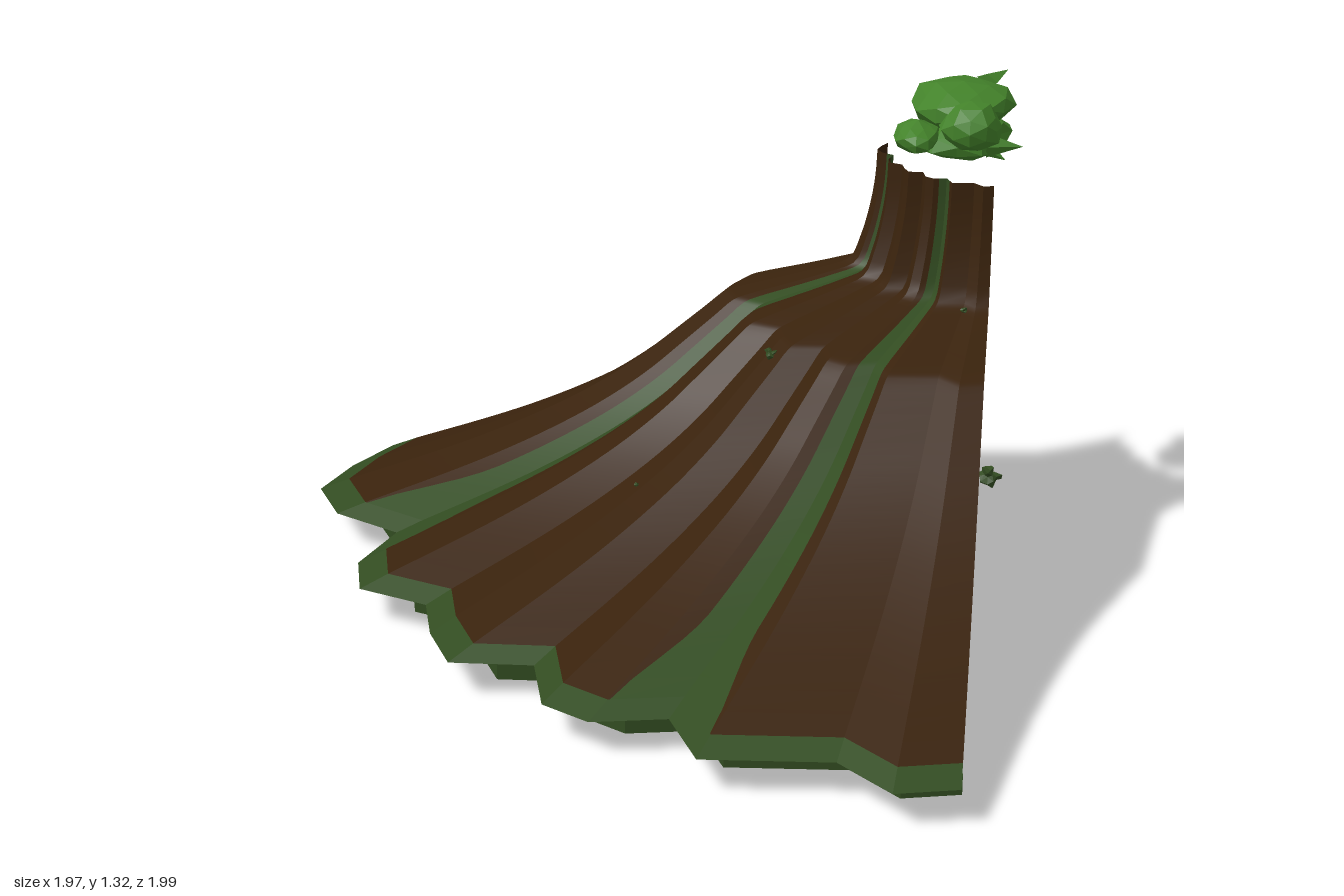
import * as THREE from 'three';

const paint = (name, color) => {
  const m = new THREE.MeshStandardMaterial({ color, side: THREE.DoubleSide });
  m.name = name;
  return m;
};

// The slope is a quarter fan around a vertical axis at this x, z
const AXIS = [0.907, -0.92];
// Scalloped rim, relative to the axis, from the back edge to the front edge
const RIM = [
  [-1.745, 0], [-1.835, 0.16], [-1.895, 0.33], [-1.815, 0.49], [-1.625, 0.595], [-1.695, 0.8],
  [-1.66, 0.96], [-1.465, 1.035], [-1.425, 1.2], [-1.35, 1.36], [-1.125, 1.35], [-1.075, 1.56],
  [-0.945, 1.64], [-0.745, 1.6], [-0.655, 1.8], [-0.31, 1.775], [-0.165, 1.915], [0, 1.875],
];
// Profile of the slope: share of the rim radius, height
const PROFILE = [
  [0.175, 1.105], [0.177, 1.03], [0.183, 0.95], [0.197, 0.845], [0.214, 0.78], [0.25, 0.758],
  [0.306, 0.732], [0.385, 0.697], [0.397, 0.687], [0.425, 0.643], [0.478, 0.56], [0.52, 0.495],
  [0.567, 0.434], [0.62, 0.376], [0.69, 0.312], [0.76, 0.257], [0.836, 0.205], [0.957, 0.13],
];
const VALLEYS = [4, 13]; // rim points from which the grassy stripes climb

// Point at fractional rim index u, radius share s and height y
function fanPoint(u, s, y) {
  const i = Math.min(Math.floor(u), RIM.length - 2), f = u - i;
  const x = THREE.MathUtils.lerp(RIM[i][0], RIM[i + 1][0], f);
  const z = THREE.MathUtils.lerp(RIM[i][1], RIM[i + 1][1], f);
  return [AXIS[0] + x * s, y, AXIS[1] + z * s];
}

// One strip between two columns; smooth along the profile, creased between strips
function strip(colA, colB, rows) {
  const pos = [], index = [];
  rows.forEach(([s, y], j) => {
    pos.push(...fanPoint(colA(s), s, y), ...fanPoint(colB(s), s, y));
    if (j) {
      const a = 2 * j - 2;
      index.push(a, a + 2, a + 1, a + 1, a + 2, a + 3);
    }
  });
  const g = new THREE.BufferGeometry();
  g.setAttribute('position', new THREE.Float32BufferAttribute(pos, 3));
  g.setIndex(index);
  g.computeVertexNormals();
  return g;
}

// Half-width of a stripe, which flares towards the rim
const flare = (s) => 0.58 + 0.39 * THREE.MathUtils.smoothstep(s, 0.78, 0.957);

function seeded(seed) {
  return () => {
    seed = (seed * 16807) % 2147483647;
    return seed / 2147483647;
  };
}

// Faceted leafy clump: a ball with its corners pushed in and out
function clump(size, rough, seed) {
  const g = new THREE.IcosahedronGeometry(1, 1);
  const p = g.attributes.position, rnd = seeded(seed), moved = new Map();
  for (let i = 0; i < p.count; i++) {
    const v = new THREE.Vector3().fromBufferAttribute(p, i);
    const key = v.toArray().map((n) => Math.round(n * 100)).join();
    if (!moved.has(key)) moved.set(key, 1 + (rnd() - 0.5) * rough);
    v.multiplyScalar(moved.get(key));
    p.setXYZ(i, v.x * size[0], v.y * size[1], v.z * size[2]);
  }
  g.computeVertexNormals();
  return g;
}

export function createModel() {
  const earth = paint('brown earth', 0x39220c);
  const grass = paint('dark grass', 0x324c21);
  const leaf = paint('bright leaf', 0x43822a);
  const model = new THREE.Group();
  const add = (parent, name, geometry, material, at = [0, 0, 0]) => {
    const mesh = new THREE.Mesh(geometry, material);
    mesh.name = name;
    mesh.position.set(...at);
    parent.add(mesh);
    return mesh;
  };

  // Smooth slope rows
  const curve = new THREE.CatmullRomCurve3(PROFILE.map(([s, y]) => new THREE.Vector3(s, y, 0)), false, 'centripetal');
  const steps = (PROFILE.length - 1) * 3;
  const rows = Array.from({ length: steps + 1 }, (_, i) => {
    const p = curve.getPoint(i / steps);
    return [p.x, p.y];
  });

  // Columns of the fan, with extra ones on both edges of each stripe
  const columns = [];
  RIM.forEach((_, i) => {
    const valley = VALLEYS.includes(i);
    if (valley) columns.push({ at: (s) => i - flare(s), green: true });
    columns.push({ at: () => i, green: valley });
    if (valley) columns.push({ at: (s) => i + flare(s), green: false });
  });

  // Earth panels and grassy stripes
  const slope = new THREE.Group();
  slope.name = 'slope';
  model.add(slope);
  for (let i = 0; i < columns.length - 1; i++) {
    const { at, green } = columns[i];
    add(slope, green ? 'grassStripe' : 'earthPanel', strip(at, columns[i + 1].at, rows), green ? grass : earth);
  }

  // Grassy rim: top band, undercut and upright skirt
  const rim = new THREE.Group();
  rim.name = 'rim';
  model.add(rim);
  const bands = [
    ['rimBand', [[0.957, 0.13], [1, 0.1]]],
    ['rimUndercut', [[1, 0.1], [0.918, 0.06]]],
    ['rimSkirt', [[0.918, 0.06], [0.918, 0]]],
  ];
  for (const [name, edge] of bands) {
    for (let i = 0; i < RIM.length - 1; i++) add(rim, name, strip(() => i, () => i + 1, edge), grass);
  }

  // Bush floating over the summit: centre, half sizes, roughness
  const bush = new THREE.Group();
  bush.name = 'summitBush';
  model.add(bush);
  const lobes = [
    [[0.81, 1.26, -0.83], [0.14, 0.065, 0.15], 0.2],
    [[0.69, 1.195, -0.72], [0.065, 0.045, 0.085], 0.2],
    [[0.835, 1.235, -0.71], [0.09, 0.07, 0.085], 0.2],
    [[0.80, 1.18, -0.79], [0.12, 0.055, 0.12], 0.35],
    [[0.86, 1.185, -0.83], [0.075, 0.06, 0.085], 0.5],
  ];
  lobes.forEach(([at, size, rough], i) => add(bush, 'bushLobe', clump(size, rough, 71 + i * 13), leaf, at));

  // Pointed leaves sticking out of the bush
  const tips = [
    [[0.93, 1.18, -0.71], [0, 0, -1.57]],
    [[0.9, 1.31, -0.94], [-1.5, 0, -0.6]],
    [[0.86, 1.23, -0.94], [-1.57, 0, 0]],
    [[0.89, 1.14, -0.78], [0, 0, -2.1]],
  ];
  for (const [at, turn] of tips) {
    const blade = new THREE.ConeGeometry(0.035, 0.1, 4).toNonIndexed();
    blade.scale(1, 1, 0.5);
    blade.computeVertexNormals();
    add(bush, 'leafTip', blade, leaf, at).rotation.set(...turn);
  }

  // Small tufts: one at the foot of the axis, others on the slope
  const tufts = [
    [[0.92, 0.1, -0.92], 0.034], [[0.32, 0.663, -0.4], 0.015],
    [[0.84, 0.775, -0.5], 0.008], [[-0.02, 0.36, -0.16], 0.006],
  ];
  tufts.forEach(([at, r], i) => add(model, 'tuft', clump([r, r * 0.8, r], 1, 301 + i * 7), grass, at));

  return model;
}
